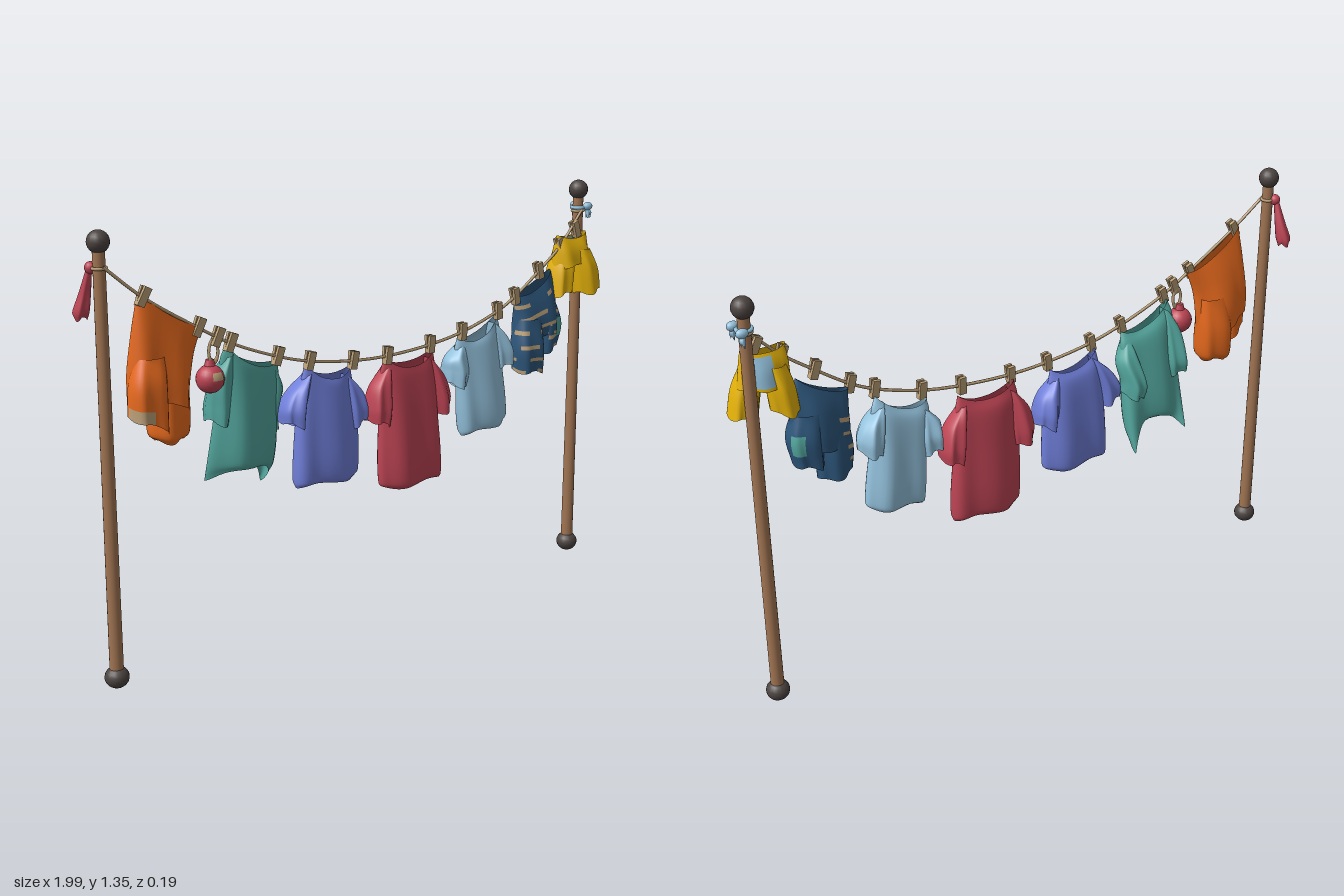
import * as THREE from 'three';

const mat = (name, color, open = true) => {
  const m = new THREE.MeshStandardMaterial({ color });
  m.name = name;
  if (open) m.side = THREE.DoubleSide;
  return m;
};

export function createModel() {
  const root = new THREE.Group();
  const M = {
    orange: mat('orange cloth', 0xe86a1e), teal: mat('teal cloth', 0x53a59d),
    violet: mat('violet cloth', 0x6f7ed8), red: mat('red cloth', 0xbd4454),
    sky: mat('sky blue cloth', 0x93c1dc), navy: mat('navy cloth', 0x2d567b),
    yellow: mat('yellow cloth', 0xe5b20a), wood: mat('post wood', 0xa07452, false),
    dark: mat('dark caps', 0x4b4340, false), tan: mat('peg and rope tan', 0xbda179),
  };
  const add = (parent, name, geo, material, x = 0, y = 0, z = 0) => {
    const mesh = new THREE.Mesh(geo, material);
    mesh.name = name;
    mesh.position.set(x, y, z);
    parent.add(mesh);
    return mesh;
  };
  const group = (name) => {
    const g = new THREE.Group();
    g.name = name;
    root.add(g);
    return g;
  };

  // Open cloth tube through rings [x, y, z, half width, half depth, slope];
  // paint(t, a) picks the material of each patch
  function cloth(parent, name, mats, rings, { sag = 0, fold = 0.18, drop = 0, swing = 0, phase = 0, paint = () => 0 } = {}) {
    const n = 40, steps = 28, pos = [], faces = mats.map(() => []);
    const centre = new THREE.CatmullRomCurve3(rings.map((r) => new THREE.Vector3(r[0], r[1], r[2])), false, 'catmullrom');
    const size = new THREE.CatmullRomCurve3(rings.map((r) => new THREE.Vector3(r[3], r[4], r[5] || 0)), false, 'catmullrom');
    for (let i = 0; i <= steps; i++) {
      const t = i / steps, p = centre.getPoint(t), q = size.getPoint(t);
      for (let j = 0; j < n; j++) {
        const a = j / n * Math.PI * 2, c = Math.cos(a), s = Math.sin(a), side = Math.abs(c) ** 3;
        const ripple = 1 + fold * Math.sqrt(t) * Math.cos(5 * a + phase + 1.5 * t);
        const dx = q.x * Math.sign(c) * Math.abs(c) ** 0.85;
        const dip = sag * (1 - t) ** 3 * s * s * (s > 0 ? 1 : 0.75);
        const hem = t ** 4 * (drop * side + 0.006 * Math.sin(3 * a + phase));
        pos.push(p.x + dx * (1 + 0.12 * (ripple - 1)), p.y + q.z * dx - dip - hem,
          p.z + q.y * s * ripple - swing * t * t * side);
        if (i < steps) {
          const k = (j + 1) % n, A = i * n + j, B = i * n + k;
          faces[paint(t, a)].push(A, B, A + n, B, B + n, A + n);
        }
      }
    }
    const geo = new THREE.BufferGeometry();
    geo.setAttribute('position', new THREE.Float32BufferAttribute(pos, 3));
    geo.setIndex(faces.flat());
    let start = 0;
    faces.forEach((f, m) => { geo.addGroup(start, f.length, m); start += f.length; });
    geo.computeVertexNormals();
    return add(parent, name, geo, mats);
  }

  // Posts with round ends
  for (const side of [-1, 1]) {
    const post = group(side < 0 ? 'rightPost' : 'leftPost');
    add(post, 'pole', new THREE.CylinderGeometry(0.018, 0.021, 1.29, 14), M.wood, side * 0.945, 0.675, 0.006);
    add(post, 'topBall', new THREE.SphereGeometry(0.033, 16, 12), M.dark, side * 0.945, 1.318, 0.006);
    const foot = add(post, 'footBall', new THREE.SphereGeometry(0.037, 16, 12), M.dark, side * 0.945, 0.034, 0.006);
    foot.scale.y = 0.9;
    const loop = add(post, 'ropeLoop', new THREE.TorusGeometry(0.02, 0.005, 6, 18), M.tan, side * 0.945, 1.245, 0.006);
    loop.rotation.x = Math.PI / 2;
  }

  // Sagging rope
  const line = [[-0.945, 1.25], [-0.83, 1.155], [-0.65, 1.045], [-0.54, 0.985], [-0.37, 0.92], [-0.25, 0.888],
    [-0.08, 0.865], [0.06, 0.86], [0.24, 0.872], [0.38, 0.895], [0.54, 0.945], [0.62, 0.985], [0.73, 1.06],
    [0.83, 1.135], [0.945, 1.25]];
  const rope = new THREE.CatmullRomCurve3(line.map(([x, y]) => new THREE.Vector3(x, y, Math.abs(x) > 0.9 ? 0.026 : 0.037)));
  add(root, 'rope', new THREE.TubeGeometry(rope, 120, 0.005, 6), M.tan);

  // Two-pronged pegs, square to the rope; the last one hangs lower
  const pegs = group('pegs');
  for (const k of [1, 2, 2.6, 3, 4, 5, 6, 7, 8, 9, 10, 11, 12, 13, 13.7]) {
    const p = rope.getPoint(k / 14), d = rope.getTangent(k / 14);
    const peg = new THREE.Group();
    peg.name = 'peg';
    peg.position.set(p.x, p.y - (k > 13 ? 0.03 : 0), p.z);
    peg.rotation.z = Math.atan2(d.y, d.x) * 0.6 - 0.1;
    for (const s of [-1, 1]) {
      const prong = add(peg, 'prong', new THREE.BoxGeometry(0.024, 0.058, 0.011), M.tan, 0, 0.002, s * 0.007);
      prong.rotation.x = s * 0.08;
    }
    pegs.add(peg);
  }

  // Shirt: neck between two pegs, body down to the hem, two drooping sleeves
  function shirt(name, m, l, r, hem, cuffs, o = {}) {
    const g = group(name), cx = (l[0] + r[0]) / 2, cy = (l[1] + r[1]) / 2, w = (r[0] - l[0]) / 2;
    const slope = (r[1] - l[1]) / (2 * w), [hx, hy, hw, hs = 0, hz = 0.015] = hem;
    const at = (f) => [cx + (hx - cx) * f, cy + (hy - cy) * f, 0.015 + (hz - 0.015) * f];
    cloth(g, 'body', [m], [
      [cx, cy, 0.02, w, 0.02, slope],
      [...at(0.14), w * 1.12, 0.033, slope * 0.9],
      [...at(0.42), hw * 0.94, 0.044, slope * 0.5 + hs * 0.5],
      [...at(0.75), hw, 0.052, hs],
      [...at(0.95), hw, 0.05, hs],
      [...at(1), hw * 0.95, 0.04, hs]], { sag: 0.04, phase: hx * 9, ...o });
    cuffs.forEach(([x, y, z = 0.01], i) => {
      const s = i ? 1 : -1, top = i ? r : l;
      cloth(g, i ? 'leftSleeve' : 'rightSleeve', [m], [
        [top[0] - s * 0.012, top[1] - 0.03, 0.015, 0.012, 0.02, -s * 0.6],
        [top[0] + (x - top[0]) * 0.4, top[1] + (y - top[1]) * 0.4, z * 0.4 + 0.008, 0.033, 0.038, -s * 0.3],
        [x - s * 0.004, y + 0.05, z, 0.038, 0.05, s * 0.1],
        [x, y, z, 0.034, 0.046, s * 0.35]], { phase: x * 7 + i });
    });
  }
  shirt('tealShirt', M.teal, [-0.545, 0.975], [-0.36, 0.905], [-0.46, 0.59, 0.11, -0.14, -0.01],
    [[-0.557, 0.735, -0.015], [-0.375, 0.69, -0.025]], { drop: 0.07, swing: 0.07, sag: 0.035 });
  shirt('violetShirt', M.violet, [-0.255, 0.875], [-0.08, 0.845], [-0.175, 0.49, 0.122], [[-0.3, 0.69], [-0.055, 0.66]]);
  shirt('redShirt', M.red, [0.06, 0.85], [0.265, 0.85], [0.172, 0.418, 0.126, 0, 0.02], [[0.036, 0.64], [0.3, 0.64]]);
  shirt('skyBlueShirt', M.sky, [0.375, 0.875], [0.55, 0.93], [0.5, 0.55, 0.1, 0.15], [[0.372, 0.71], [0.582, 0.755]]);

  // Shorts: waist and hips, then two legs
  function shorts(name, mats, hips, legs, o = {}, legPaint = [undefined, undefined]) {
    const g = group(name);
    cloth(g, 'hips', mats, hips, o);
    legs.forEach((leg, i) => cloth(g, i ? 'leftLeg' : 'rightLeg', mats, leg,
      { fold: 0.15, phase: i * 2, paint: legPaint[i] || (() => 0) }));
  }
  shorts('orangeShorts', [M.orange, M.tan],
    [[-0.735, 1.108, 0.025, 0.106, 0.02, -0.58], [-0.757, 1.02, 0.02, 0.1, 0.036, -0.45],
      [-0.77, 0.92, 0.015, 0.1, 0.05, -0.25], [-0.775, 0.84, 0.015, 0.096, 0.052, -0.25]],
    [[[-0.81, 0.98, 0.03, 0.045, 0.035], [-0.822, 0.9, 0.038, 0.058, 0.046], [-0.825, 0.785, 0.038, 0.06, 0.046, -0.45]],
      [[-0.73, 0.95, 0, 0.055, 0.035], [-0.737, 0.84, 0, 0.064, 0.055], [-0.742, 0.75, 0.005, 0.062, 0.055], [-0.742, 0.722, 0.01, 0.042, 0.04]]],
    { sag: 0.02 }, [(t, a) => (t > 0.8 && a > 1.5 && a < 3.2 ? 1 : 0)]);

  // Broken stripes on the front and right of the navy shorts, teal patches on the left leg
  const dashes = (t, a) => (Math.floor(t * 28) % 7 > 4 && a > 0.8 && a < 4.2
    && Math.sin(a * 3 + Math.floor(t * 4) * 1.9) > -0.2 ? 1 : 0);
  shorts('navyShorts', [M.navy, M.tan, M.teal],
    [[0.717, 1.02, 0.022, 0.082, 0.022, 0.45], [0.73, 0.95, 0.02, 0.09, 0.04, 0.35],
      [0.735, 0.88, 0.02, 0.094, 0.05, 0.25], [0.738, 0.83, 0.02, 0.09, 0.05, 0.2]],
    [[[0.695, 0.9, 0.025, 0.05, 0.04], [0.69, 0.8, 0.03, 0.058, 0.052], [0.692, 0.715, 0.03, 0.054, 0.046, -0.1]],
      [[0.77, 0.95, 0.015, 0.05, 0.04], [0.787, 0.87, 0.015, 0.054, 0.054], [0.782, 0.78, 0.012, 0.046, 0.047, 0.2]]],
    { sag: 0.02, paint: dashes },
    [dashes, (t, a) => (t > 0.35 && t < 0.72 && ((a > 0.4 && a < 1.3) || (a > 5 && a < 5.9)) ? 2 : dashes(t, a))]);

  // Yellow shorts with a patch on the back of the waist
  shorts('yellowShorts', [M.yellow, M.sky],
    [[0.885, 1.175, 0.035, 0.068, 0.022, 0.03], [0.888, 1.12, 0.034, 0.075, 0.04], [0.893, 1.065, 0.034, 0.08, 0.048]],
    [[[0.862, 1.12, 0.025, 0.035, 0.035], [0.848, 1.05, 0.022, 0.04, 0.05], [0.838, 0.97, 0.022, 0.04, 0.05, 0.15]],
      [[0.918, 1.12, 0.045, 0.035, 0.035], [0.938, 1.05, 0.052, 0.042, 0.045], [0.953, 0.97, 0.052, 0.043, 0.044, 0.15]]],
    { sag: 0.015, paint: (t, a) => (a > 4.5 && a < 5.4 && t > 0.1 && t < 0.9 ? 1 : 0) });

  // Little red pouch hung below a peg
  const pouch = group('redPouch');
  add(pouch, 'bag', new THREE.SphereGeometry(0.043, 20, 14), M.red, -0.605, 0.885, 0.025);
  add(pouch, 'patch', new THREE.SphereGeometry(0.0445, 10, 8, 1.2, 0.9, 1, 0.55), M.tan, -0.605, 0.885, 0.025);
  add(pouch, 'tie', new THREE.CylinderGeometry(0.012, 0.02, 0.03, 12), M.red, -0.605, 0.928, 0.025);
  const strap = add(pouch, 'strap', new THREE.TorusGeometry(0.016, 0.005, 6, 18), M.tan, -0.595, 0.965, 0.03);
  strap.scale.y = 2;

  // Red rag tied to the right post
  const rag = group('redRag');
  add(rag, 'knot', new THREE.SphereGeometry(0.018, 12, 10), M.red, -0.96, 1.245, -0.014);
  cloth(rag, 'tail', [M.red], [[-0.962, 1.24, -0.02, 0.008, 0.009], [-0.967, 1.17, -0.04, 0.017, 0.017],
    [-0.974, 1.12, -0.052, 0.023, 0.022], [-0.975, 1.098, -0.056, 0.018, 0.016]]);

  // Sky blue ribbon tied to the left post
  const ribbon = group('skyBlueRibbon');
  const band = add(ribbon, 'band', new THREE.TorusGeometry(0.022, 0.006, 8, 18), M.sky, 0.947, 1.256, 0.004);
  band.rotation.x = Math.PI / 2;
  for (const s of [-1, 1]) {
    const bow = add(ribbon, 'bow', new THREE.SphereGeometry(0.016, 12, 10), M.sky, 0.968, 1.26, s * 0.03);
    bow.scale.set(1.2, 0.9, 0.9);
    cloth(ribbon, 'ribbonEnd', [M.sky], [[0.966, 1.255, s * 0.028, 0.006, 0.007], [0.97, 1.24, s * 0.032, 0.009, 0.01], [0.968, 1.225, s * 0.033, 0.006, 0.008]]);
  }
  return root;
}
